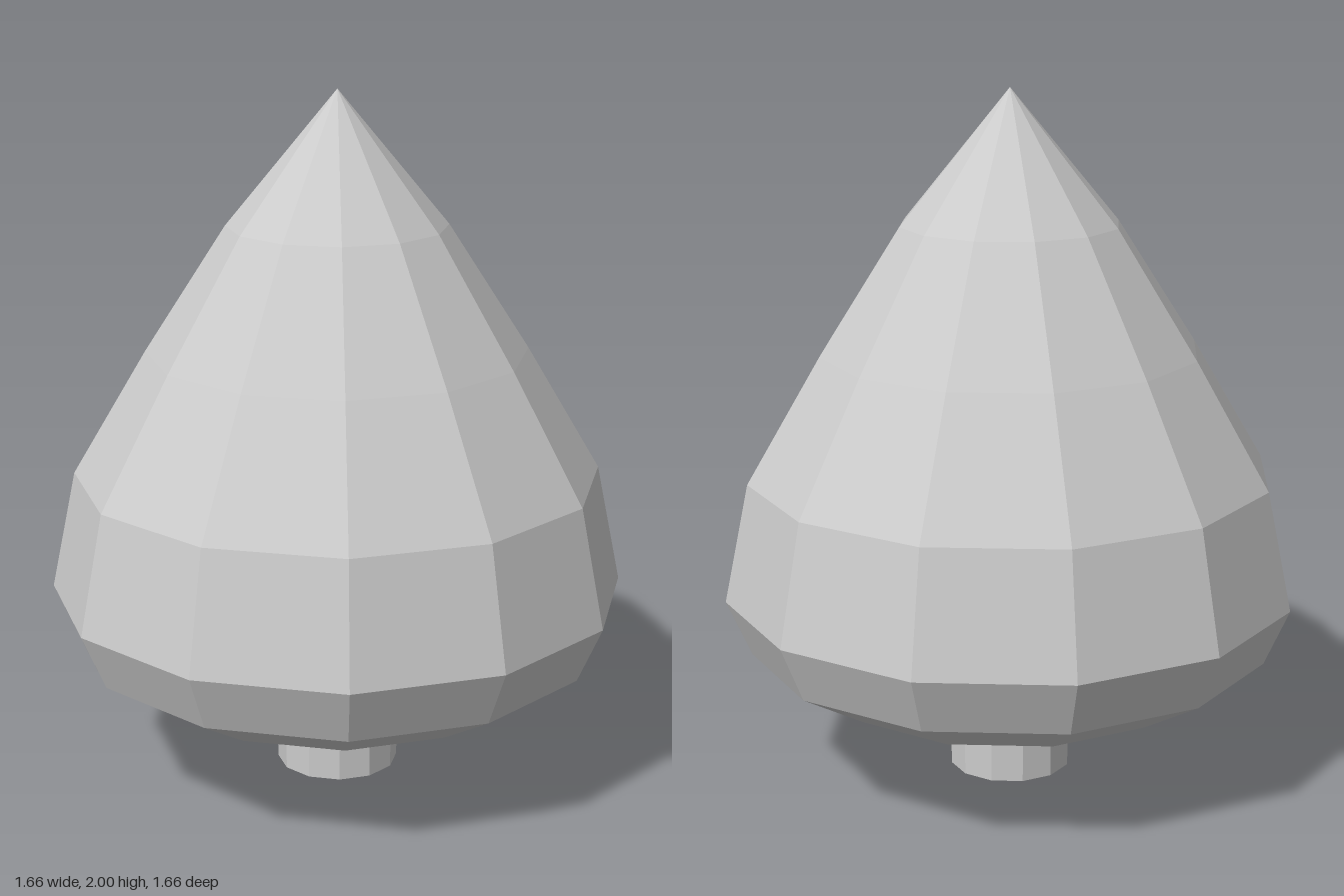
import * as THREE from 'three';

const SIDES = 12;

export function createModel() {
  const group = new THREE.Group();
  const material = new THREE.MeshStandardMaterial({ color: 0xcccccc, flatShading: true });

  // Faceted body turned from a [radius, height] profile, bottom to top
  const addLathe = (name, profile) => {
    const points = profile.map(([r, y]) => new THREE.Vector2(r, y));
    const mesh = new THREE.Mesh(new THREE.LatheGeometry(points, SIDES), material);
    mesh.name = name;
    group.add(mesh);
  };

  // Trunk
  addLathe('trunk', [[0, 0], [0.178, 0], [0.178, 0.29]]);

  // Underside of the foliage, tapering in to a flat bottom
  addLathe('foliageBase', [[0, 0.27], [0.557, 0.27], [0.76, 0.39], [0.832, 0.555]]);

  // Upper foliage, rising to a point
  addLathe('foliageCrown', [[0.832, 0.555], [0.76, 0.9], [0.547, 1.26], [0.315, 1.62], [0, 2]]);

  return group;
}
